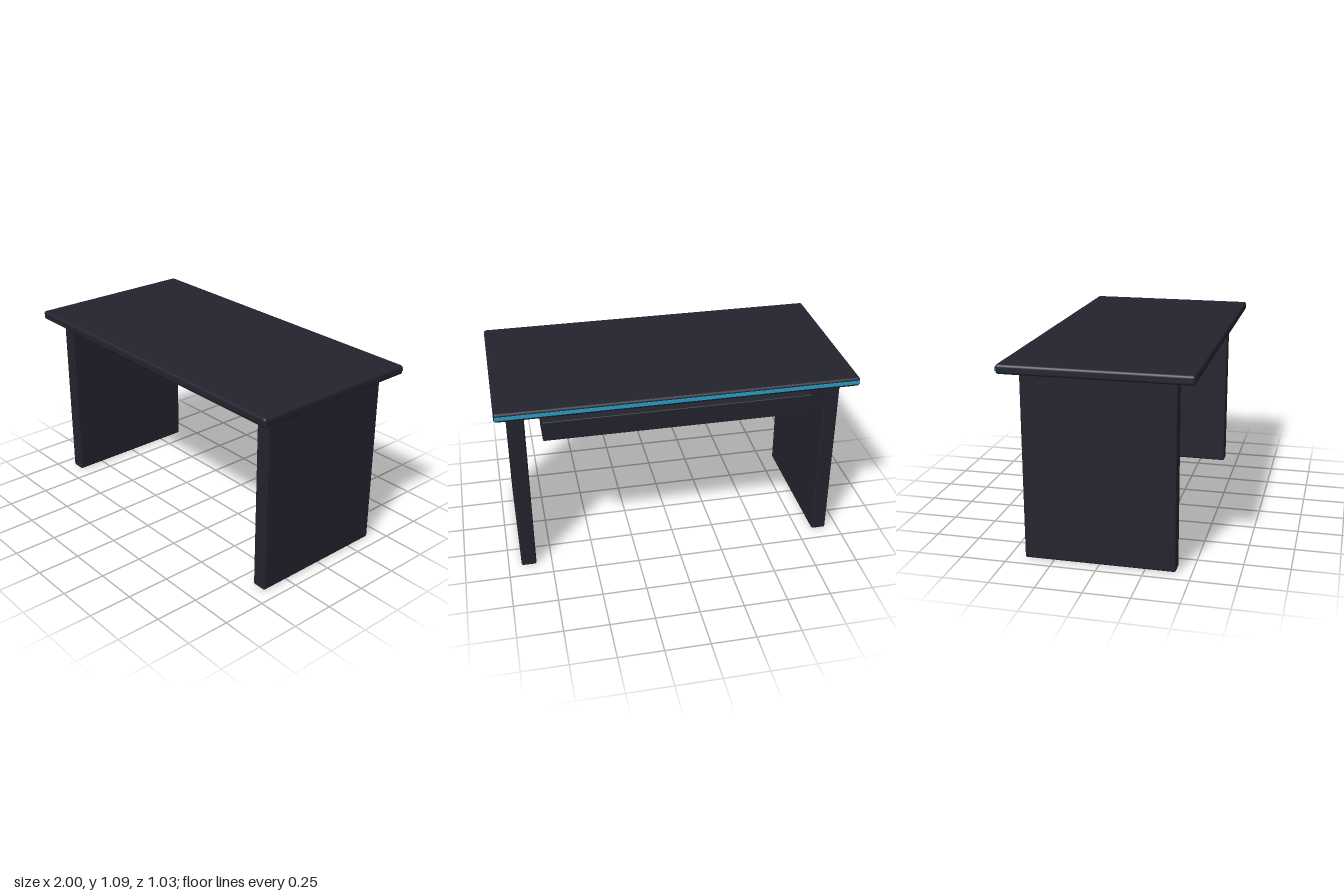
import * as THREE from 'three';
import { RoundedBoxGeometry } from 'three/addons/geometries/RoundedBoxGeometry.js';

export function createModel() {
  const model = new THREE.Group();
  model.name = 'desk';

  const darkPanel = new THREE.MeshStandardMaterial({ color: 0x23232e });
  darkPanel.name = 'dark panel';
  const blueLight = new THREE.MeshStandardMaterial({ color: 0x279dc8 });
  blueLight.name = 'blue light';

  // Rounded slab given by its minimum and maximum corners
  function slab(name, min, max, radius, material) {
    const size = max.map((v, i) => v - min[i]);
    const mesh = new THREE.Mesh(new RoundedBoxGeometry(...size, 3, radius), material);
    mesh.position.set(...max.map((v, i) => (v + min[i]) / 2));
    mesh.name = name;
    model.add(mesh);
  }

  // Table top
  slab('tableTop', [-1, 1.035, -0.512], [1, 1.087, 0.515], 0.015, darkPanel);

  // Side panels that carry the top
  for (const [name, side] of [['leftLeg', 1], ['rightLeg', -1]]) {
    const x = side * 0.883;
    slab(name, [x - 0.043, 0, -0.412], [x + 0.043, 1.03, 0.415], 0.01, darkPanel);
  }

  // Cable tray hung under the back edge
  slab('cableTray', [-0.75, 0.86, -0.452], [0.75, 0.975, -0.27], 0.005, darkPanel);

  // Thin light strip along the back edge of the top
  const strip = new THREE.Mesh(new THREE.BoxGeometry(1.99, 0.02, 0.008), blueLight);
  strip.position.set(0, 1.061, -0.511);
  strip.name = 'lightStrip';
  model.add(strip);

  return model;
}
